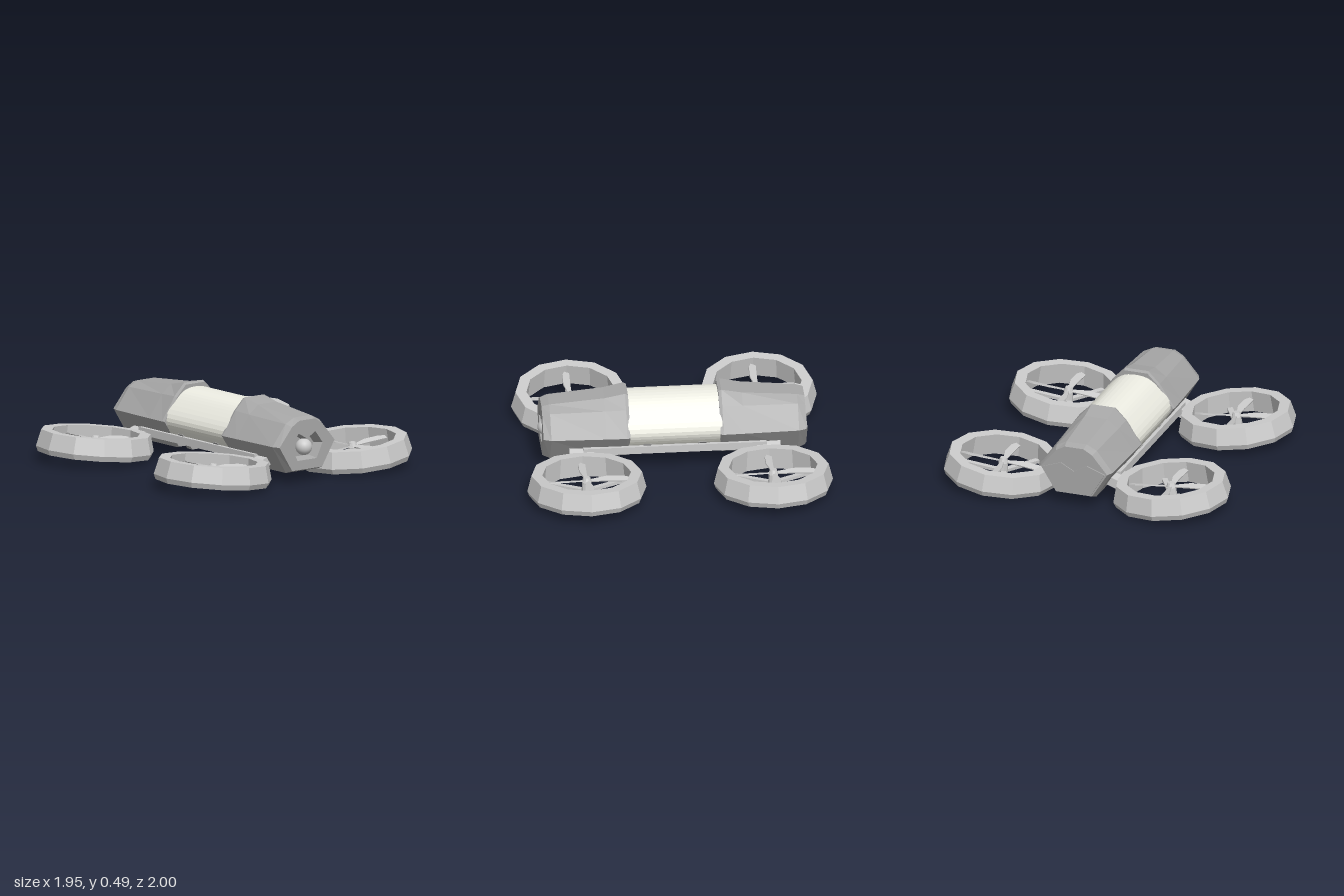
import * as THREE from 'three';

const grey = new THREE.MeshStandardMaterial({ color: 0xcccccc, flatShading: true });
const smoothGrey = new THREE.MeshStandardMaterial({ color: 0xcccccc });
const darkGrey = new THREE.MeshStandardMaterial({ color: 0xa8a8a8, flatShading: true });
const paleHull = new THREE.MeshStandardMaterial({ color: 0xeeeee4 });

function add(parent, name, geometry, material, x = 0, y = 0, z = 0) {
  const mesh = new THREE.Mesh(geometry, material);
  mesh.name = name;
  mesh.position.set(x, y, z);
  parent.add(mesh);
  return mesh;
}

// Right half of an outline (top to bottom) -> closed counter-clockwise outline
const mirrored = half => [...half.map(([x, y]) => [-x, y]), ...half.slice().reverse()];
const shapeOf = pts => new THREE.Shape(pts.map(p => new THREE.Vector2(...p)));

// Walls through matching outlines, each given as { z, pts }
function loft(sections) {
  const pos = [], n = sections[0].pts.length;
  for (let s = 0; s + 1 < sections.length; s++) {
    const a = sections[s], b = sections[s + 1];
    for (let i = 0; i < n; i++) {
      const j = (i + 1) % n;
      const A = [...a.pts[i], a.z], B = [...a.pts[j], a.z];
      const C = [...b.pts[j], b.z], D = [...b.pts[i], b.z];
      pos.push(...A, ...B, ...C, ...A, ...C, ...D);
    }
  }
  const g = new THREE.BufferGeometry();
  g.setAttribute('position', new THREE.Float32BufferAttribute(pos, 3));
  g.computeVertexNormals();
  return g;
}

const bodyOutline = (topX, top, shoulder, shoulderY, side, base, bottom) =>
  mirrored([[topX, top], [shoulder, shoulderY], [side, 0.255], [base, bottom]]);

// Faceted end shell running toward +z; the tail reuses it turned around
function createShell(name, isNose) {
  const shell = new THREE.Group();
  shell.name = name;
  const sections = [
    { z: 0.295, pts: bodyOutline(0.08, 0.48, 0.155, 0.405, 0.26, 0.138, 0.075) },
    { z: 0.315, pts: bodyOutline(0.08, 0.49, 0.16, 0.41, 0.265, 0.14, 0.07) },
    { z: 0.45, pts: bodyOutline(0.077, 0.462, 0.155, 0.405, 0.262, 0.14, 0.07) },
    { z: 0.81, pts: bodyOutline(0.07, 0.43, 0.14, 0.395, 0.25, 0.138, 0.07) },
    { z: 0.86, pts: bodyOutline(0.065, 0.415, 0.125, 0.38, 0.23, 0.125, 0.088) },
  ];
  add(shell, 'shellWalls', loft(sections), darkGrey);
  add(shell, 'shellInnerCap', new THREE.ShapeGeometry(shapeOf(sections[0].pts)), darkGrey, 0, 0, 0.295)
    .material = new THREE.MeshStandardMaterial({ color: 0xa8a8a8, side: THREE.DoubleSide });
  const face = shapeOf(sections[4].pts);
  if (isNose) {
    // Notched recess holding the camera ball
    const rim = [[0, 0.29], [-0.07, 0.33], [-0.13, 0.25], [-0.08, 0.15], [0.08, 0.15], [0.13, 0.25], [0.07, 0.33]];
    const floor = rim.map(([x, y]) => [x * 0.78, 0.23 + (y - 0.23) * 0.78]);
    face.holes.push(new THREE.Path(rim.map(p => new THREE.Vector2(...p))));
    add(shell, 'recessWalls', loft([{ z: 0.86, pts: rim }, { z: 0.8, pts: floor }]), darkGrey);
    add(shell, 'recessFloor', new THREE.ShapeGeometry(shapeOf(floor)), darkGrey, 0, 0, 0.8);
    add(shell, 'cameraBall', new THREE.SphereGeometry(0.055, 24, 16), smoothGrey, 0, 0.23, 0.825);
  } else {
    // Lower tail plate with a zigzag top edge
    const plate = shapeOf([[0, 0.25], [-0.09, 0.3], [-0.215, 0.255], [-0.12, 0.095],
      [0.12, 0.095], [0.215, 0.255], [0.09, 0.3]]);
    add(shell, 'tailPlate', new THREE.ExtrudeGeometry(plate, { depth: 0.01, bevelEnabled: false }), darkGrey, 0, 0, 0.857);
  }
  add(shell, 'shellEndFace', new THREE.ShapeGeometry(face), darkGrey, 0, 0, 0.86);
  return shell;
}

// Ducted rotor; side is +1 on the left, -1 on the right
function createRotor(side) {
  const rotor = new THREE.Group();
  rotor.name = 'rotor';
  const profile = [[0.305, 0], [0.375, 0], [0.39, 0.035], [0.362, 0.145], [0.29, 0.145], [0.305, 0]];
  add(rotor, 'duct', new THREE.LatheGeometry(profile.map(p => new THREE.Vector2(...p)), 12), grey);

  // Three stator struts carry the hub
  for (let i = 0; i < 3; i++) {
    const strut = new THREE.Group();
    strut.rotation.y = (side > 0 ? 0 : Math.PI) + i * Math.PI * 2 / 3;
    add(strut, 'strut', new THREE.BoxGeometry(0.3, 0.02, 0.036), grey, 0.15, 0.025, 0);
    rotor.add(strut);
  }
  add(rotor, 'motor', new THREE.CylinderGeometry(0.03, 0.036, 0.07, 10), grey, 0, 0.05, 0);
  add(rotor, 'hubCap', new THREE.CylinderGeometry(0.022, 0.034, 0.03, 10), grey, 0, 0.105, 0);

  // Four pitched blades
  const outline = shapeOf([[0.015, -0.01], [0.12, -0.012], [0.28, -0.022], [0.288, 0.012], [0.24, 0.03], [0.13, 0.036], [0.015, 0.01]]);
  const bladeGeometry = new THREE.ExtrudeGeometry(outline, { depth: 0.008, bevelEnabled: false });
  bladeGeometry.rotateX(-Math.PI / 2 + 0.3);
  for (let i = 0; i < 4; i++) {
    add(rotor, 'blade', bladeGeometry, grey, 0, 0.09, 0).rotation.y = i * Math.PI / 2 + 0.03;
  }
  return rotor;
}

export function createModel() {
  const model = new THREE.Group();
  model.name = 'quadcopter';

  // Nose and tail shells
  model.add(createShell('noseShell', true));
  const tail = createShell('tailShell', false);
  tail.rotation.y = Math.PI;
  model.add(tail);

  // Smooth middle hull
  const hullCurve = new THREE.CatmullRomCurve3(
    mirrored([[0.075, 0.45], [0.165, 0.385], [0.243, 0.265], [0.2, 0.165], [0.12, 0.09]])
      .map(([x, y]) => new THREE.Vector3(x, y, 0)), true, 'centripetal');
  const hullShape = shapeOf(hullCurve.getPoints(48).slice(0, -1).map(p => [p.x, p.y]));
  const hull = new THREE.ExtrudeGeometry(hullShape, { depth: 0.62, bevelEnabled: false });
  add(model, 'middleHull', hull, paleHull, 0, 0, -0.31);

  // Belly ribs
  const ribShape = shapeOf(mirrored([[0.222, 0.185], [0.14, 0.078]]));
  for (const z of [-0.18, 0.18]) {
    add(model, 'bellyRib', new THREE.ExtrudeGeometry(ribShape, { depth: 0.05, bevelEnabled: false }), darkGrey, 0, 0, z - 0.025);
  }

  // Side rails, mounts and rotors
  for (const side of [-1, 1]) {
    add(model, 'sideRail', new THREE.BoxGeometry(0.045, 0.05, 1.2), grey, side * 0.208, 0.148, 0);
    for (const z of [-0.61, 0.61]) {
      add(model, 'rotorMount', new THREE.BoxGeometry(0.12, 0.06, 0.16), grey, side * 0.215, 0.125, z)
        .rotation.z = -side * 0.35;
      const rotor = createRotor(side);
      rotor.position.set(side * 0.592, 0.037, z);
      rotor.rotation.z = side * 0.09;
      model.add(rotor);
    }
  }
  return model;
}
